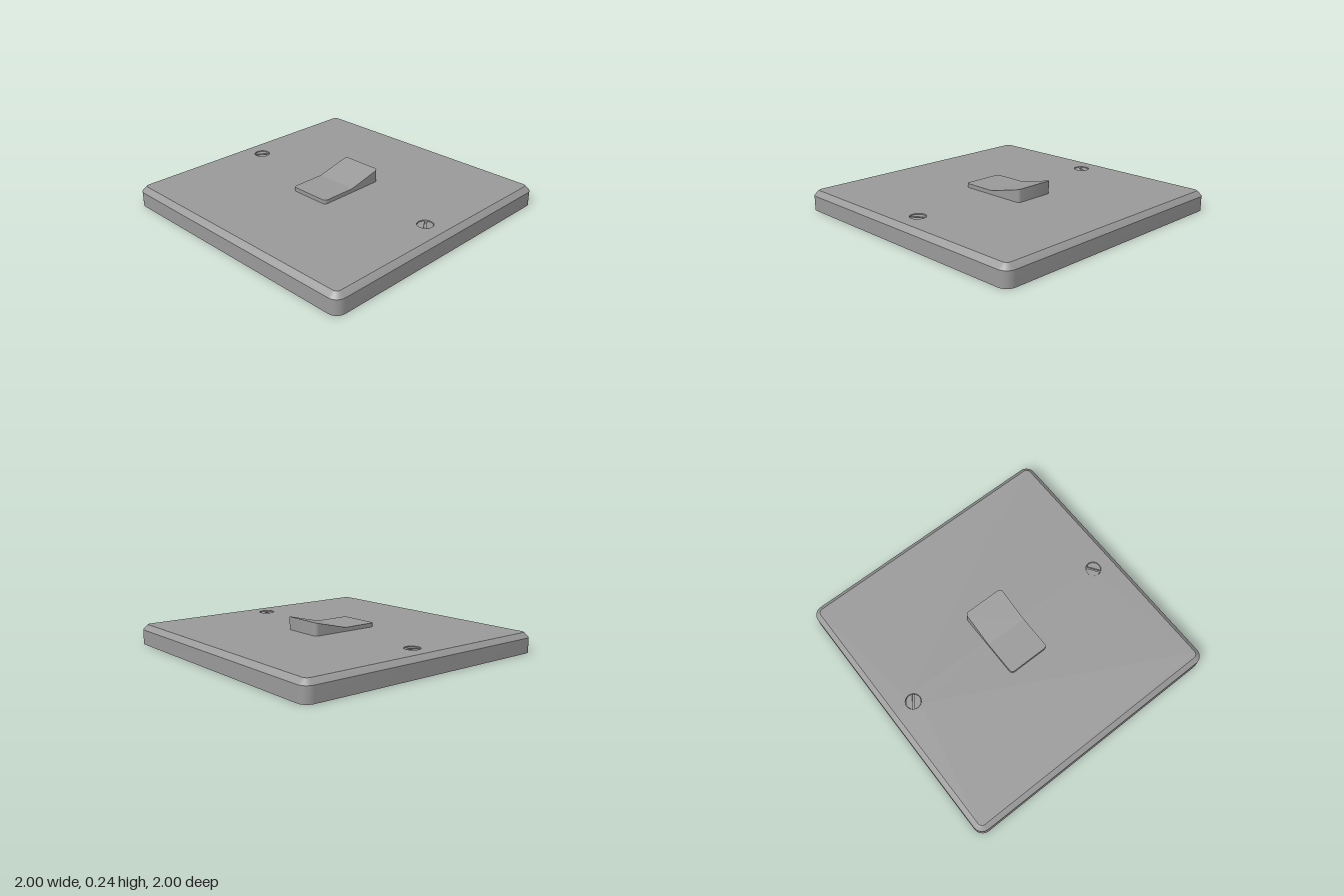
import * as THREE from 'three';
import { toCreasedNormals } from 'three/addons/utils/BufferGeometryUtils.js';

const TOP = 0.143;
const SCREW_X = 0.815, SCREW_R = 0.056;
const N = 8; // segments per rounded corner
const COLOR = 0x9a9a9a;
const material = new THREE.MeshStandardMaterial({ color: COLOR });
const thinMaterial = new THREE.MeshStandardMaterial({ color: COLOR, side: THREE.DoubleSide });

function add(parent, name, geometry, mat = material) {
  const mesh = new THREE.Mesh(geometry, mat);
  mesh.name = name;
  parent.add(mesh);
  return mesh;
}

// Rounded rectangle outline seen from above (2D y points to the back, -z).
// Starts at (w, 0) and includes (-w, 0) so it can be cut in two halves.
function outline(w, d, r) {
  const pts = [];
  for (let q = 0; q < 4; q++) {
    if (q % 2 === 0) pts.push(new THREE.Vector2(q ? -w : w, 0));
    const sx = q === 0 || q === 3 ? 1 : -1, sy = q < 2 ? 1 : -1;
    for (let i = 0; i <= N; i++) {
      const a = (q + i / N) * Math.PI / 2;
      pts.push(new THREE.Vector2(sx * (w - r) + r * Math.cos(a), sy * (d - r) + r * Math.sin(a)));
    }
  }
  return pts;
}

// Side walls joining stacked outlines; each level has points and a height rule
function walls(levels) {
  const pos = [], index = [], n = levels[0].pts.length;
  for (const { pts, y } of levels) for (const p of pts) pos.push(p.x, y(p), -p.y);
  for (let l = 0; l < levels.length - 1; l++) {
    for (let i = 0; i < n; i++) {
      const a = l * n + i, b = l * n + (i + 1) % n;
      index.push(a, b, b + n, a, b + n, a + n);
    }
  }
  const g = new THREE.BufferGeometry();
  g.setAttribute('position', new THREE.Float32BufferAttribute(pos, 3));
  g.setIndex(index);
  return toCreasedNormals(g, 0.5);
}

// Upward cap over a shape, with its height following a rule
function cap(shape, y) {
  const g = new THREE.ShapeGeometry(shape, 32);
  const p = g.attributes.position;
  for (let i = 0; i < p.count; i++) {
    const v = new THREE.Vector2(p.getX(i), p.getY(i));
    p.setXYZ(i, v.x, y(v), -v.y);
  }
  g.computeVertexNormals();
  return g;
}

function makePlate() {
  const plate = new THREE.Group();
  plate.name = 'wallPlate';
  // inset and height of each level of the bevelled rim
  const levels = [[0, 0], [0, 0.108], [0.027, 0.136], [0.036, TOP]].map(([inset, h]) => (
    { pts: outline(1 - inset, 1 - inset, 0.07 - inset), y: () => h }
  ));
  add(plate, 'plateRim', walls(levels));

  const face = new THREE.Shape(levels[levels.length - 1].pts);
  for (const s of [-1, 1]) {
    face.holes.push(new THREE.Path().absarc(s * SCREW_X, 0, SCREW_R, 0, Math.PI * 2, true));
  }
  add(plate, 'plateFace', cap(face, () => TOP));
  add(plate, 'plateBack', new THREE.ShapeGeometry(new THREE.Shape(levels[0].pts)).rotateX(Math.PI / 2));
  return plate;
}

function makeRocker() {
  const rocker = new THREE.Group();
  rocker.name = 'rockerSwitch';
  const pts = outline(0.158, 0.265, 0.025);
  // flat front half, back half ramps up
  const y = (p) => 0.172 + Math.max(0, p.y) * 0.065 / 0.265;
  add(rocker, 'rockerSides', walls([{ pts, y: () => TOP - 0.02 }, { pts, y }]));
  const mid = pts.length / 2;
  add(rocker, 'rockerRaisedHalf', cap(new THREE.Shape(pts.slice(0, mid + 1)), y));
  add(rocker, 'rockerFlatHalf', cap(new THREE.Shape([...pts.slice(mid), pts[0]]), y));
  return rocker;
}

// Slotted screw sitting just below the plate face in its hole
function makeScrew(side) {
  const screw = new THREE.Group();
  screw.name = side > 0 ? 'leftScrew' : 'rightScrew';
  const depth = 0.03;
  const well = add(screw, 'screwHole',
    new THREE.CylinderGeometry(SCREW_R, SCREW_R, depth, 32, 1, true), thinMaterial);
  well.position.y = TOP - depth / 2;
  const floor = add(screw, 'slotFloor', new THREE.CircleGeometry(SCREW_R, 32).rotateX(-Math.PI / 2));
  floor.position.y = TOP - 0.022;

  const r = SCREW_R - 0.003, a = Math.asin(0.008 / r);
  const half = new THREE.Shape().absarc(0, 0, r, a, Math.PI - a, false);
  const head = new THREE.Group();
  head.name = 'screwHead';
  for (const turn of [0, Math.PI]) {
    const g = new THREE.ExtrudeGeometry(half, { depth: 0.02, bevelEnabled: false, curveSegments: 20 });
    const mesh = add(head, 'screwHeadHalf', g.rotateX(-Math.PI / 2));
    mesh.position.y = TOP - 0.026;
    mesh.rotation.y = turn;
  }
  head.rotation.y = -side * 0.96;
  screw.add(head);
  screw.position.x = side * SCREW_X;
  return screw;
}

export function createModel() {
  const model = new THREE.Group();
  model.name = 'lightSwitch';
  model.add(makePlate(), makeRocker(), makeScrew(-1), makeScrew(1));
  return model;
}
